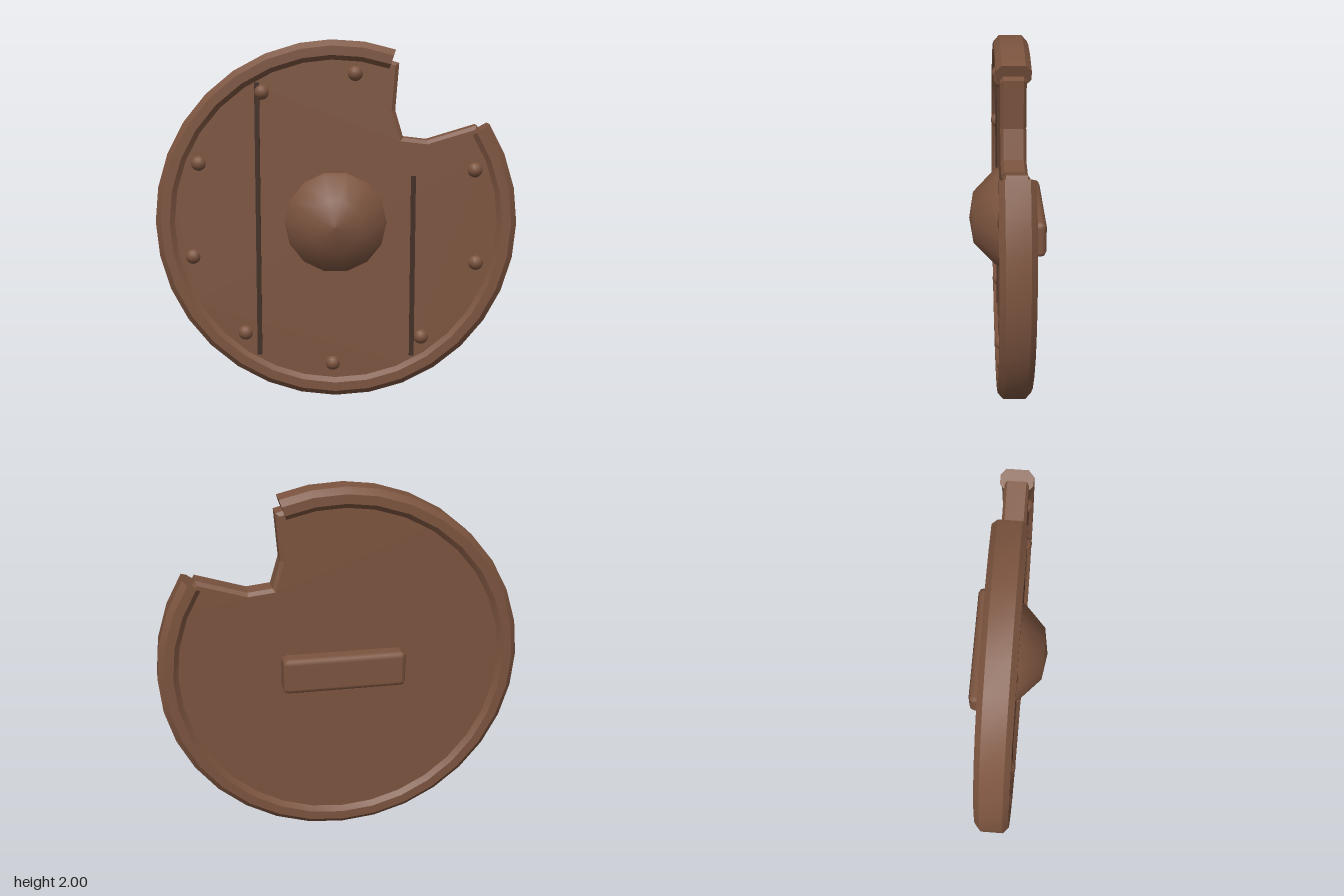
import * as THREE from 'three';
import { toCreasedNormals } from 'three/addons/utils/BufferGeometryUtils.js';
import { RoundedBoxGeometry } from 'three/addons/geometries/RoundedBoxGeometry.js';

const rad = THREE.MathUtils.degToRad;

// Chamfered octagonal section swept round an open arc, with capped ends
function sweepRim(angles, profile) {
  const n = profile.length, last = (angles.length - 1) * n;
  const pos = [], idx = [];
  for (const a of angles) {
    for (const [r, z] of profile) pos.push(r * Math.cos(rad(a)), r * Math.sin(rad(a)), z);
  }
  for (let i = 0; i < angles.length - 1; i++) {
    for (let j = 0; j < n; j++) {
      const a = i * n + j, c = i * n + (j + 1) % n;
      idx.push(a, a + n, c, a + n, c + n, c);
    }
  }
  for (let j = 1; j < n - 1; j++) {
    idx.push(0, j, j + 1, last, last + j + 1, last + j);
  }
  const geo = new THREE.BufferGeometry();
  geo.setAttribute('position', new THREE.Float32BufferAttribute(pos, 3));
  geo.setIndex(idx);
  return toCreasedNormals(geo, 0.4);
}

export function createModel() {
  const wood = new THREE.MeshStandardMaterial({ color: 0x7c543f });
  wood.name = 'brownWood';
  const dark = new THREE.MeshStandardMaterial({ color: 0x412e24 });
  dark.name = 'darkGroove';

  const shield = new THREE.Group();
  shield.name = 'shield';
  const add = (name, geo, mat, x = 0, y = 0, z = 0) => {
    const mesh = new THREE.Mesh(geo, mat);
    mesh.name = name;
    mesh.position.set(x, y, z);
    shield.add(mesh);
    return mesh;
  };

  // Rim, broken away at the upper left of the shield
  const angles = [71, 81, 91.5];
  for (let k = 9; k <= 34; k++) angles.push(k * 11.25);
  angles.push(393);
  add('rim', sweepRim(angles, [
    [1, -0.09], [1, 0.03], [0.967, 0.06], [0.917, 0.06],
    [0.89, 0.035], [0.89, -0.095], [0.917, -0.12], [0.967, -0.12],
  ]), wood);

  // Wooden board with the bite-shaped notch and bevelled edges
  const outline = [];
  for (let i = 0; i <= 30; i++) {
    const a = rad(68.5 + (326.4 * i) / 30);
    outline.push(new THREE.Vector2(0.94 * Math.cos(a), 0.94 * Math.sin(a)));
  }
  for (const [x, y] of [[0.5, 0.455], [0.37, 0.47], [0.325, 0.62]]) {
    outline.push(new THREE.Vector2(x, y));
  }
  const board = new THREE.ExtrudeGeometry(new THREE.Shape(outline), {
    depth: 0.102, bevelEnabled: true, bevelSegments: 1,
    bevelSize: 0.02, bevelOffset: -0.02, bevelThickness: 0.015,
  });
  add('board', board, wood, 0, 0, -0.08);

  // Plank grooves
  for (const [name, x, bottom, top] of [
    ['rightGroove', -0.428, -0.76, 0.77], ['leftGroove', 0.428, -0.76, 0.26],
  ]) {
    add(name, new THREE.BoxGeometry(0.027, top - bottom, 0.008), dark, x, (top + bottom) / 2, 0.039);
  }

  // Central boss
  const bossProfile = [[0.29, 0.025], [0.265, 0.065], [0.145, 0.18], [0, 0.203]]
    .map(([r, h]) => new THREE.Vector2(r, h));
  const boss = add('boss', new THREE.LatheGeometry(bossProfile, 14, Math.PI / 2), wood);
  boss.rotation.x = Math.PI / 2;

  // Rivets round the board
  const rivet = new THREE.SphereGeometry(0.044, 14, 10);
  [[0.107, 0.818], [-0.403, 0.717], [-0.754, 0.328], [-0.795, -0.195], [-0.508, -0.633],
    [-0.016, -0.808], [0.481, -0.652], [0.78, -0.225], [0.765, 0.294]]
    .forEach(([x, y], i) => add('rivet' + (i + 1), rivet, wood, x, y, 0.022));

  // Rear grip
  add('grip', new RoundedBoxGeometry(0.676, 0.2, 0.116, 1, 0.03), wood, 0, 0, -0.15);

  // Stand the shield on the ground
  for (const part of shield.children) part.position.y += 1;
  return shield;
}
